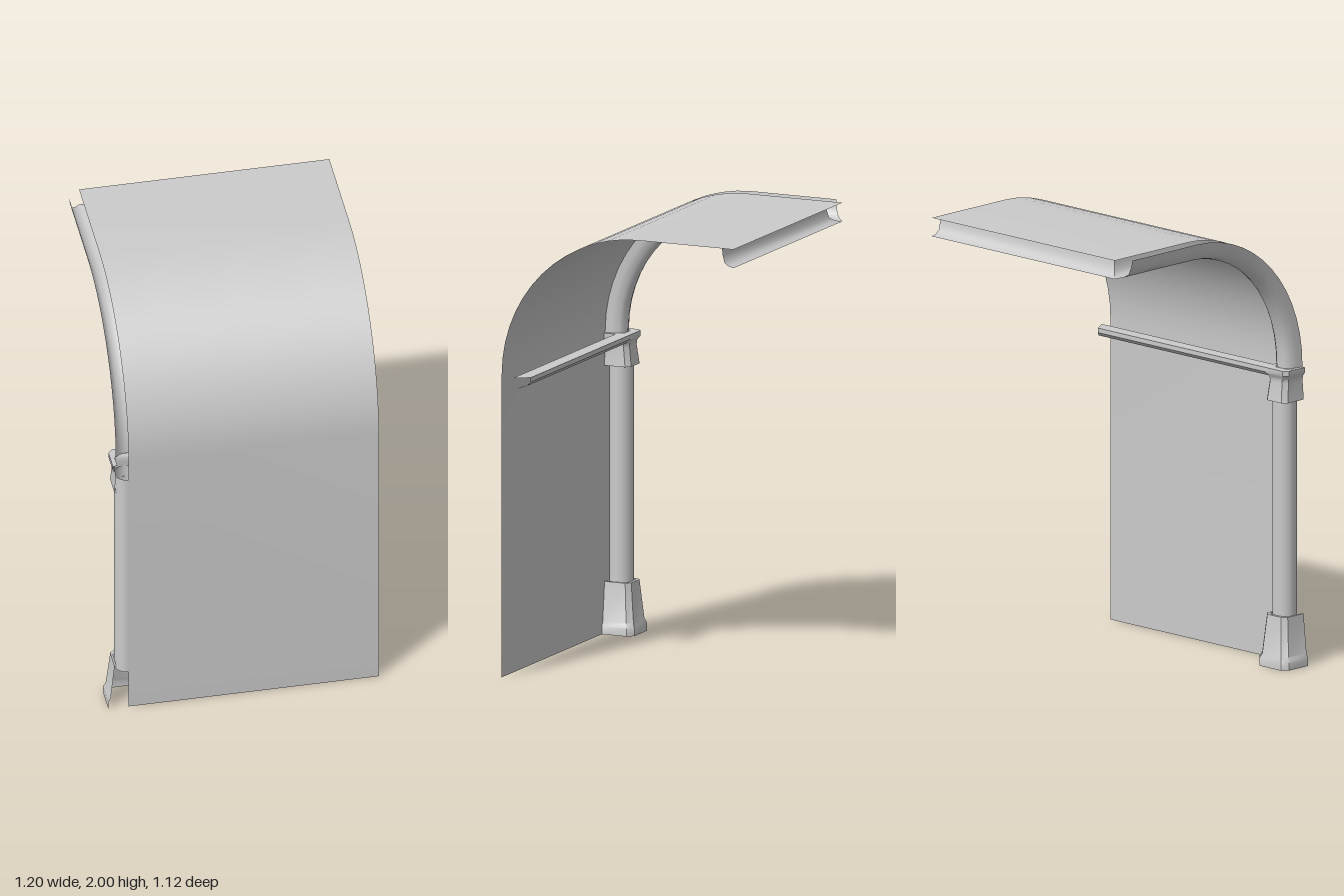
import * as THREE from 'three';
import { toCreasedNormals } from 'three/addons/utils/BufferGeometryUtils.js';

const WALL_Z = 0.555, EDGE_X = -0.51, RIGHT_X = 0.6, BACK_Z = -0.56;
const ARC_Z = -0.1, ARC_Y = 1.345, ARC_R = WALL_Z - ARC_Z, SPRING = 1.335;

const material = new THREE.MeshStandardMaterial({ color: 0xcccccc, side: THREE.DoubleSide });

// Skin through a list of open cross-sections, each with the same number of points
function loft(sections, crease = 0.7) {
  const n = sections[0].length, index = [];
  for (let i = 0; i < sections.length - 1; i++) {
    for (let j = 0; j < n - 1; j++) {
      const a = i * n + j, b = a + n;
      index.push(a, b, a + 1, b, b + 1, a + 1);
    }
  }
  const geometry = new THREE.BufferGeometry();
  geometry.setAttribute('position', new THREE.Float32BufferAttribute(sections.flat(2), 3));
  geometry.setIndex(index);
  return toCreasedNormals(geometry, crease);
}

// Point on the shell curve: z, y and the inward normal (nz, ny)
function shellPath(wallBottom) {
  const path = [{ z: WALL_Z, y: wallBottom, nz: -1, ny: 0 }];
  const steps = 14;
  for (let i = 0; i <= steps; i++) {
    const a = (i / steps) * Math.PI / 2, c = Math.cos(a), s = Math.sin(a);
    path.push({ z: ARC_Z + ARC_R * c, y: ARC_Y + ARC_R * s, nz: -c, ny: -s });
  }
  path.push({ z: BACK_Z, y: ARC_Y + ARC_R, nz: 0, ny: -1 });
  return path;
}

// Half of the channel profile: [sideways offset, depth below the shell]
const channel = [[0.055, 0], [0.051, 0.03], [0.043, 0.062], [0.025, 0.076], [0, 0.083]];
const fullChannel = [
  ...channel.map(([w, d]) => [-w, d]),
  ...channel.slice(0, -1).reverse(),
];

// U-shaped plan with chamfered corners, open towards the wall
function uSection(y, half, depth, chamfer) {
  const side = [[half, 0], [half, depth - chamfer], [half - chamfer, depth]];
  return [...side.map(([w, d]) => [-w, d]), ...side.reverse()]
    .map(([w, d]) => [EDGE_X + w, y, WALL_Z - d]);
}

export function createModel() {
  const group = new THREE.Group();
  const add = (name, geometry) => {
    const mesh = new THREE.Mesh(geometry, material);
    mesh.name = name;
    group.add(mesh);
    return mesh;
  };

  // Wall sheet that bends over into the ceiling
  add('wallAndVault', loft(shellPath(0).map(p => [
    [EDGE_X, p.y, p.z], [RIGHT_X, p.y, p.z],
  ])));

  // Curved rib under the side edge, mitred at its far end
  const ribPath = shellPath(SPRING);
  add('vaultRib', loft(ribPath.map((p, i) => fullChannel.map(([w, d]) => {
    const mitre = i === ribPath.length - 1 ? Math.abs(w) : 0;
    return [EDGE_X + w, p.y + p.ny * d, p.z + p.nz * d + mitre];
  })), 0.8));

  // Half channel along the back edge of the ceiling, mitred to meet the rib
  add('ridgeBeam', loft([0, 1].map(end => channel.map(([w, d]) => [
    end ? RIGHT_X : EDGE_X + w, ARC_Y + ARC_R - d, BACK_Z + w,
  ])), 0.8));

  // Round column
  add('column', new THREE.CylinderGeometry(0.0535, 0.0535, 1.06, 16, 1, true))
    .position.set(EDGE_X, 0.72, 0.501);

  // Flared foot of the column
  add('columnBase', loft([
    [0, 0.09, 0.145, 0.025],
    [0.035, 0.09, 0.145, 0.025],
    [0.055, 0.08, 0.136, 0.024],
    [0.23, 0.062, 0.119, 0.02],
    [0.23, 0.054, 0.105, 0.02],
  ].map(s => uSection(...s))));

  // Collar and lip at the top of the column
  add('columnCapital', loft([
    [1.19, 0.054, 0.105, 0.02],
    [1.19, 0.063, 0.119, 0.02],
    [1.275, 0.056, 0.108, 0.02],
    [1.295, 0.058, 0.109, 0.02],
    [1.312, 0.07, 0.12, 0.02],
    [SPRING, 0.07, 0.12, 0.02],
    [SPRING, 0.05, 0.08, 0.02],
  ].map(s => uSection(...s))));

  // Moulding that runs along the wall at capital height: [y, z, right end]
  const moulding = [
    [1.335, 0.5, 0.6], [1.335, 0.435, 0.56], [1.315, 0.435, 0.56],
    [1.298, 0.45, 0.57], [1.285, 0.49, 0.6],
  ];
  add('wallMoulding', loft([0, 1].map(end => moulding.map(([y, z, right]) => [
    end ? right : EDGE_X + 0.04, y, z,
  ]))));

  return group;
}
